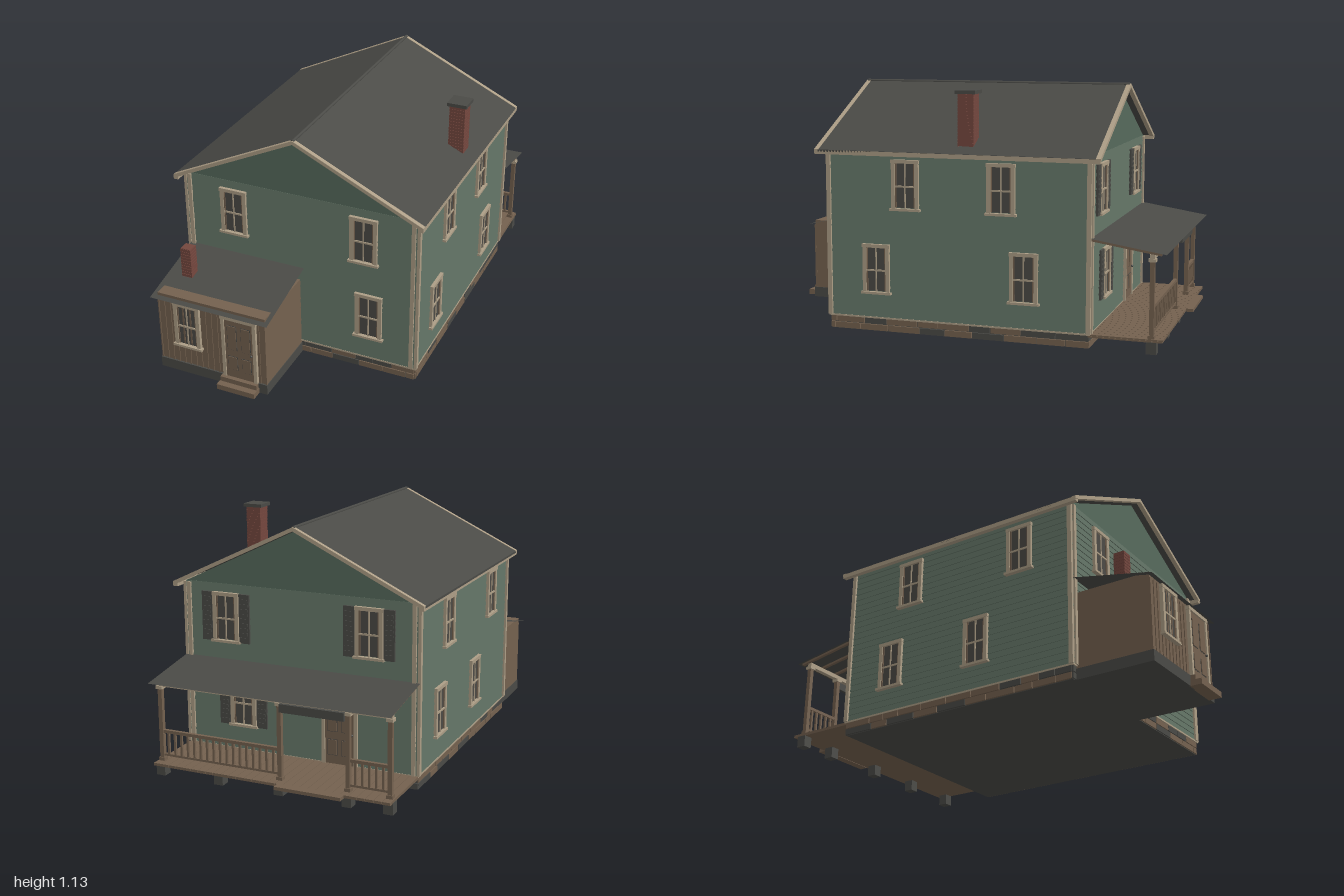
import * as THREE from 'three';

const mat = (name, color, side = THREE.FrontSide) => {
  const m = new THREE.MeshStandardMaterial({ color, side });
  m.name = name;
  return m;
};
const M = {
  green: mat('sage siding', 0x617264),
  gable: mat('gable green', 0x566a5c),
  slate: mat('dark slate', 0x4a4a46, THREE.DoubleSide),
  trim: mat('tan trim', 0xad9e86),
  wood: mat('brown wood', 0x74614f),
  brick: mat('red brick', 0x74473e),
  glass: mat('window glass', 0x4c4a45),
};

function add(parent, name, geo, m) {
  const mesh = new THREE.Mesh(geo, m);
  mesh.name = name;
  parent.add(mesh);
  return mesh;
}

// Box given by its limits on each axis
function box(parent, name, m, x0, x1, y0, y1, z0, z1) {
  const mesh = add(parent, name, new THREE.BoxGeometry(x1 - x0, y1 - y0, z1 - z0), m);
  mesh.position.set((x0 + x1) / 2, (y0 + y1) / 2, (z0 + z1) / 2);
  return mesh;
}

function group(parent, name) {
  const g = new THREE.Group();
  g.name = name;
  parent.add(g);
  return g;
}

// Polygon in x/y drawn out along z from z0 to z1
function prism(parent, name, m, pts, z0, z1) {
  const shape = new THREE.Shape(pts.map(p => new THREE.Vector2(...p)));
  const geo = new THREE.ExtrudeGeometry(shape, { depth: z1 - z0, bevelEnabled: false });
  geo.translate(0, 0, z0);
  return add(parent, name, geo, m);
}

// Sloped sheet between two edges parallel to x
function sheet(parent, name, x0, x1, zA, yA, zB, yB) {
  const geo = new THREE.PlaneGeometry(x1 - x0, Math.hypot(zB - zA, yB - yA));
  geo.rotateX(-Math.PI / 2 + Math.atan2(yA - yB, zB - zA));
  geo.translate((x0 + x1) / 2, (yA + yB) / 2, (zA + zB) / 2);
  return add(parent, name, geo, M.slate);
}

// Sash window facing +z, with its base at the group's origin
function windowUnit(parent, x, y, z, turn, { shutters = false, curtains = false } = {}) {
  const g = group(parent, 'window'), h = 0.225, w = 0.065;
  box(g, 'glass', M.glass, -w + 0.01, w - 0.01, 0.01, h - 0.01, -0.01, 0.004);
  for (const s of [-1, 1]) {
    box(g, 'casing', M.trim, s * 0.056 - 0.009, s * 0.056 + 0.009, 0, h, -0.01, 0.012);
    box(g, 'sashStile', M.wood, s * 0.044 - 0.003, s * 0.044 + 0.003, 0.01, h - 0.01, -0.01, 0.008);
    if (curtains) box(g, 'curtain', M.wood, s * 0.018 - 0.004, s * 0.018 + 0.004, 0.015, h - 0.015, 0, 0.006);
    if (shutters) {
      box(g, 'shutter', M.slate, s * 0.094 - 0.026, s * 0.094 + 0.026, 0, h, -0.01, 0.009);
      for (let i = 0; i < 9; i++)
        box(g, 'louvre', M.slate, s * 0.094 - 0.019, s * 0.094 + 0.019, 0.015 + i * 0.022, 0.027 + i * 0.022, 0, 0.012);
    }
  }
  box(g, 'headCasing', M.trim, -w - 0.002, w + 0.002, h - 0.014, h + 0.002, -0.01, 0.014);
  box(g, 'sill', M.trim, -w - 0.008, w + 0.008, -0.004, 0.007, -0.01, 0.018);
  box(g, 'meetingRail', M.trim, -0.047, 0.047, 0.102, 0.11, -0.01, 0.009);
  box(g, 'muntin', M.trim, -0.003, 0.003, 0.007, h - 0.012, -0.01, 0.008);
  g.position.set(x, y, z);
  g.rotation.y = turn;
}

// Four-panel door facing +z
function door(parent, x, y, z, turn) {
  const g = group(parent, 'door');
  box(g, 'doorLeaf', M.wood, -0.07, 0.07, 0, 0.31, -0.01, 0.006);
  for (const s of [-1, 1]) {
    box(g, 'doorCasing', M.trim, s * 0.078 - 0.008, s * 0.078 + 0.008, 0, 0.325, -0.01, 0.012);
    for (const [y0, y1] of [[0.04, 0.115], [0.15, 0.28]]) {
      box(g, 'panelGroove', M.slate, s * 0.034 - 0.024, s * 0.034 + 0.024, y0, y1, 0, 0.007);
      box(g, 'doorPanel', M.wood, s * 0.034 - 0.021, s * 0.034 + 0.021, y0 + 0.003, y1 - 0.003, 0, 0.01);
    }
  }
  box(g, 'doorHead', M.trim, -0.089, 0.089, 0.31, 0.327, -0.01, 0.014);
  const knob = add(g, 'doorKnob', new THREE.SphereGeometry(0.006, 10, 8), M.slate);
  knob.position.set(0.062, 0.145, 0.012);
  g.position.set(x, y, z);
  g.rotation.y = turn;
}

function chimney(parent, x0, x1, y0, y1, z0, z1) {
  const g = group(parent, 'chimney'), n = Math.round((y1 - y0) / 0.015), h = (y1 - y0) / n;
  for (let i = 0; i < n; i++) {
    box(g, 'brickCourse', M.brick, x0, x1, y0 + i * h, y0 + (i + 0.86) * h, z0, z1);
    box(g, 'mortarJoint', M.brick, x0 + 0.002, x1 - 0.002, y0 + (i + 0.86) * h, y0 + (i + 1) * h, z0 + 0.002, z1 - 0.002);
  }
  return g;
}

// Two courses of mixed stones along the four sides
function foundation(parent) {
  const g = group(parent, 'foundation');
  let seed = 7;
  const rnd = () => (seed = (seed * 16807) % 2147483647) / 2147483647;
  box(g, 'foundationCore', M.slate, -0.56, 0.56, 0, 0.065, -0.64, 0.58);
  for (let row = 0; row < 2; row++) {
    const y0 = 0.003 + row * 0.031, y1 = y0 + 0.027;
    for (const s of [-1, 1]) {
      for (const [half, across] of [[0.565, true], [0.613, false]]) {
        for (let a = -half; a < half - 0.01;) {
          const b = Math.min(half, a + 0.08 + rnd() * 0.08), m = rnd() < 0.6 ? M.wood : M.slate;
          const e = b - 0.004;
          if (across) box(g, 'stone', m, a, e, y0, y1, s > 0 ? 0.57 : -0.645, s > 0 ? 0.586 : -0.63);
          else box(g, 'stone', m, s * 0.56 - 0.009, s * 0.56 + 0.009, y0, y1, a - 0.03, e - 0.03);
          a = b;
        }
      }
    }
  }
}

function mainHouse(root) {
  const g = group(root, 'mainHouse');
  foundation(g);
  box(g, 'waterTable', M.trim, -0.571, 0.571, 0.06, 0.068, -0.651, 0.591);

  // Lapped siding: each course flares slightly at its lower edge
  const siding = group(g, 'siding'), n = 26, y0 = 0.066, h = (0.835 - y0) / n;
  for (let i = 0; i < n; i++) {
    const geo = new THREE.BoxGeometry(1.132, h, 1.232), p = geo.attributes.position;
    for (let k = 0; k < p.count; k++)
      if (p.getY(k) < 0) p.setXYZ(k, p.getX(k) * 1.006, p.getY(k), p.getZ(k) * 1.006);
    geo.computeVertexNormals();
    add(siding, 'sidingCourse', geo, M.green).position.set(0, y0 + (i + 0.5) * h, -0.03);
  }
  prism(g, 'gables', M.gable, [[-0.565, 0.834], [0.565, 0.834], [0, 1.104]], -0.645, 0.585);

  // Corner boards
  for (const sx of [-1, 1]) for (const sz of [-1, 1]) {
    const zc = -0.03 + sz * 0.62;
    box(g, 'cornerBoard', M.trim, sx * 0.548 - 0.009, sx * 0.548 + 0.009, 0.066, 0.83, zc - 0.007, zc + 0.007);
    box(g, 'cornerBoard', M.trim, sx * 0.571 - 0.007, sx * 0.571 + 0.007, 0.066, 0.83, zc - sz * 0.008 - 0.01, zc - sz * 0.008 + 0.01);
  }

  // Roof, rake boards, eaves and ridge
  const chevron = (t, top) => [[-0.605, top - 0.288], [-0.605, top - 0.288 - t], [0, top - t],
    [0.605, top - 0.288 - t], [0.605, top - 0.288], [0, top]];
  prism(g, 'roof', M.slate, chevron(0.01, 1.122), -0.68, 0.62);
  prism(g, 'frontRake', M.trim, chevron(0.018, 1.124), 0.615, 0.636);
  prism(g, 'backRake', M.trim, chevron(0.018, 1.124), -0.696, -0.675);
  for (const s of [-1, 1])
    box(g, 'eaveFascia', M.trim, s * 0.594 - 0.011, s * 0.594 + 0.011, 0.813, 0.833, -0.694, 0.634);
  const ridge = add(g, 'ridgeCap', new THREE.CylinderGeometry(0.008, 0.008, 1.32, 10), M.slate);
  ridge.rotation.x = Math.PI / 2;
  ridge.position.set(0, 1.12, -0.03);

  const stack = chimney(g, 0.47, 0.545, 0.85, 1.095, -0.11, -0.035);
  box(stack, 'chimneyCap', M.slate, 0.46, 0.555, 1.094, 1.11, -0.12, -0.025);

  // Windows and back door
  const up = 0.57, low = 0.18, q = Math.PI / 2;
  for (const [x, y] of [[-0.325, up], [0.315, up], [0.34, low]]) windowUnit(g, x, y, 0.589, 0);
  for (const [z, y] of [[0.205, up], [-0.245, up], [0.35, low], [-0.35, low]]) windowUnit(g, 0.569, y, z, q);
  for (const [z, y] of [[0.32, up], [-0.29, up], [0.09, low], [-0.39, low]]) windowUnit(g, -0.569, y, z, -q);
  for (const [x, y] of [[0.36, up], [-0.34, up], [0.28, low]]) windowUnit(g, x, y, -0.649, Math.PI, { shutters: true });
  door(g, -0.2, 0.066, -0.649, Math.PI);
}

function frontAnnex(root) {
  const g = group(root, 'frontAnnex');
  box(g, 'annexBase', M.slate, -0.543, 0.003, 0, 0.05, 0.58, 0.948);
  box(g, 'annexWalls', M.wood, -0.54, 0, 0.05, 0.4, 0.58, 0.94);
  for (let i = 0; i <= 18; i++) {
    const x = -0.537 + i * 0.0297;
    box(g, 'batten', M.wood, x - 0.003, x + 0.003, 0.05, 0.375, 0.935, 0.944);
  }
  sheet(g, 'annexRoof', -0.565, 0.02, 0.585, 0.465, 0.965, 0.381);
  chimney(g, -0.492, -0.44, 0.39, 0.565, 0.75, 0.802);
  windowUnit(g, -0.39, 0.152, 0.944, 0, { curtains: true });
  door(g, -0.128, 0.05, 0.944, 0);
  box(g, 'upperStep', M.wood, -0.222, -0.04, 0, 0.05, 0.94, 0.97);
  box(g, 'lowerStep', M.wood, -0.226, -0.037, 0, 0.026, 0.94, 1);
}

function backPorch(root) {
  const g = group(root, 'backPorch');
  // Deck planks on a thin bed, with piers beneath
  box(g, 'deckBed', M.wood, -0.57, 0.57, 0.052, 0.059, -0.965, -0.64);
  for (let i = 0; i < 30; i++)
    box(g, 'deckPlank', M.wood, -0.57 + i * 0.038, -0.534 + i * 0.038, 0.054, 0.065, -0.967, -0.645);
  box(g, 'porchStep', M.wood, -0.36, -0.05, 0.05, 0.065, -1, -0.96);
  for (const x of [0.55, 0.255, -0.04, -0.36, -0.55])
    box(g, 'pier', M.slate, x - 0.022, x + 0.022, 0, 0.053, -0.94, -0.895);

  // Posts with caps and feet
  for (const x of [0.55, -0.04, -0.36, -0.55]) {
    box(g, 'porchPost', M.wood, x - 0.01, x + 0.01, 0.065, 0.412, -0.925, -0.905);
    box(g, 'postFoot', M.wood, x - 0.014, x + 0.014, 0.065, 0.08, -0.929, -0.901);
    box(g, 'postCap', M.trim, x - 0.016, x + 0.016, 0.4, 0.414, -0.931, -0.899);
  }
  // Railings on both sides of the entrance
  for (const [a, b] of [[-0.04, 0.55], [-0.55, -0.36]]) {
    box(g, 'topRail', M.wood, a, b, 0.196, 0.21, -0.923, -0.907);
    box(g, 'bottomRail', M.wood, a, b, 0.088, 0.098, -0.921, -0.909);
    const n = Math.round((b - a) / 0.032);
    for (let i = 1; i < n; i++) {
      const x = a + (b - a) * i / n;
      box(g, 'baluster', M.wood, x - 0.005, x + 0.005, 0.096, 0.198, -0.92, -0.91);
    }
  }
  // Beam, rafters and roof sheet
  box(g, 'porchBeam', M.trim, -0.56, 0.56, 0.412, 0.432, -0.925, -0.903);
  box(g, 'entranceBoard', M.slate, -0.35, -0.05, 0.378, 0.415, -0.943, -0.927);
  const slope = Math.atan2(0.048, 0.31);
  for (let i = 0; i <= 12; i++) {
    const r = add(g, 'rafter', new THREE.BoxGeometry(0.014, 0.01, 0.316), M.wood);
    r.position.set(-0.56 + i * 0.0933, 0.457, -0.8);
    r.rotation.x = -slope;
  }
  sheet(g, 'porchRoof', -0.575, 0.575, -0.978, 0.436, -0.645, 0.488);
}

export function createModel() {
  const root = new THREE.Group();
  root.name = 'house';
  mainHouse(root);
  frontAnnex(root);
  backPorch(root);
  return root;
}
